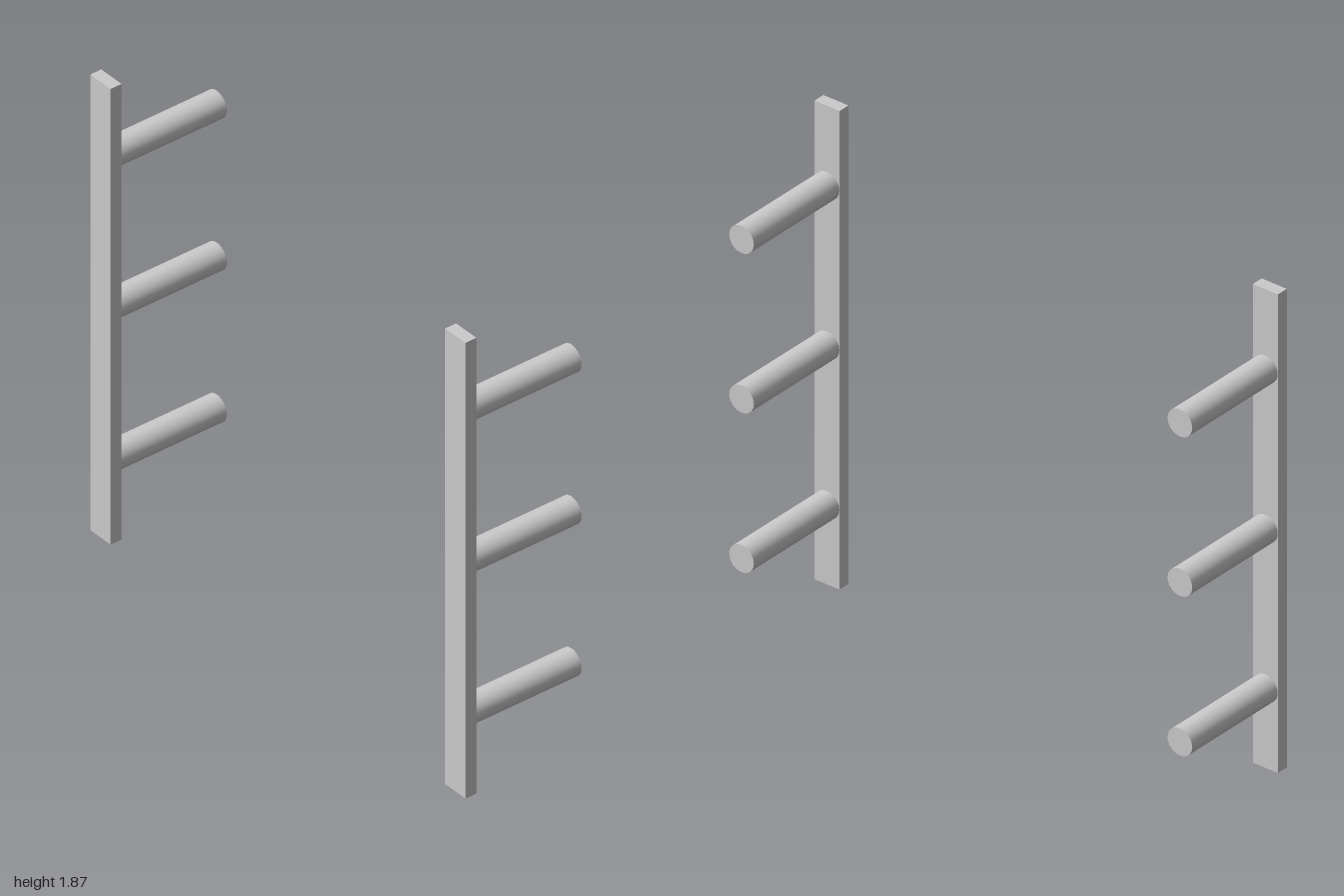
import * as THREE from 'three';

const HEIGHT = 1.866, WIDTH = 0.108, THICK = 0.047;
const FRONT = 0.25, BACK = -0.25;
const PEG_RADIUS = 0.053;

export function createModel() {
  const model = new THREE.Group();
  model.name = 'pegRack';
  const material = new THREE.MeshStandardMaterial({ color: 0xcccccc });

  // Upright board, shared by both sides
  const boardGeometry = new THREE.BoxGeometry(WIDTH, HEIGHT, THICK);

  // Round peg from the back of the board to the rear
  const pegLength = FRONT - THICK - BACK;
  const pegGeometry = new THREE.CylinderGeometry(PEG_RADIUS, PEG_RADIUS, pegLength, 48);
  pegGeometry.rotateX(Math.PI / 2);

  for (const [name, side] of [['left', 1], ['right', -1]]) {
    const rail = new THREE.Group();
    rail.name = `${name}Rail`;
    rail.position.x = side * (1 - WIDTH / 2);

    const board = new THREE.Mesh(boardGeometry, material);
    board.name = `${name}Board`;
    board.position.set(0, HEIGHT / 2, FRONT - THICK / 2);
    rail.add(board);

    // Three pegs, each centred in a third of the board
    for (let i = 0; i < 3; i++) {
      const peg = new THREE.Mesh(pegGeometry, material);
      peg.name = `${name}Peg${i + 1}`;
      peg.position.set(0, HEIGHT * (i + 0.5) / 3, BACK + pegLength / 2);
      rail.add(peg);
    }
    model.add(rail);
  }
  return model;
}
